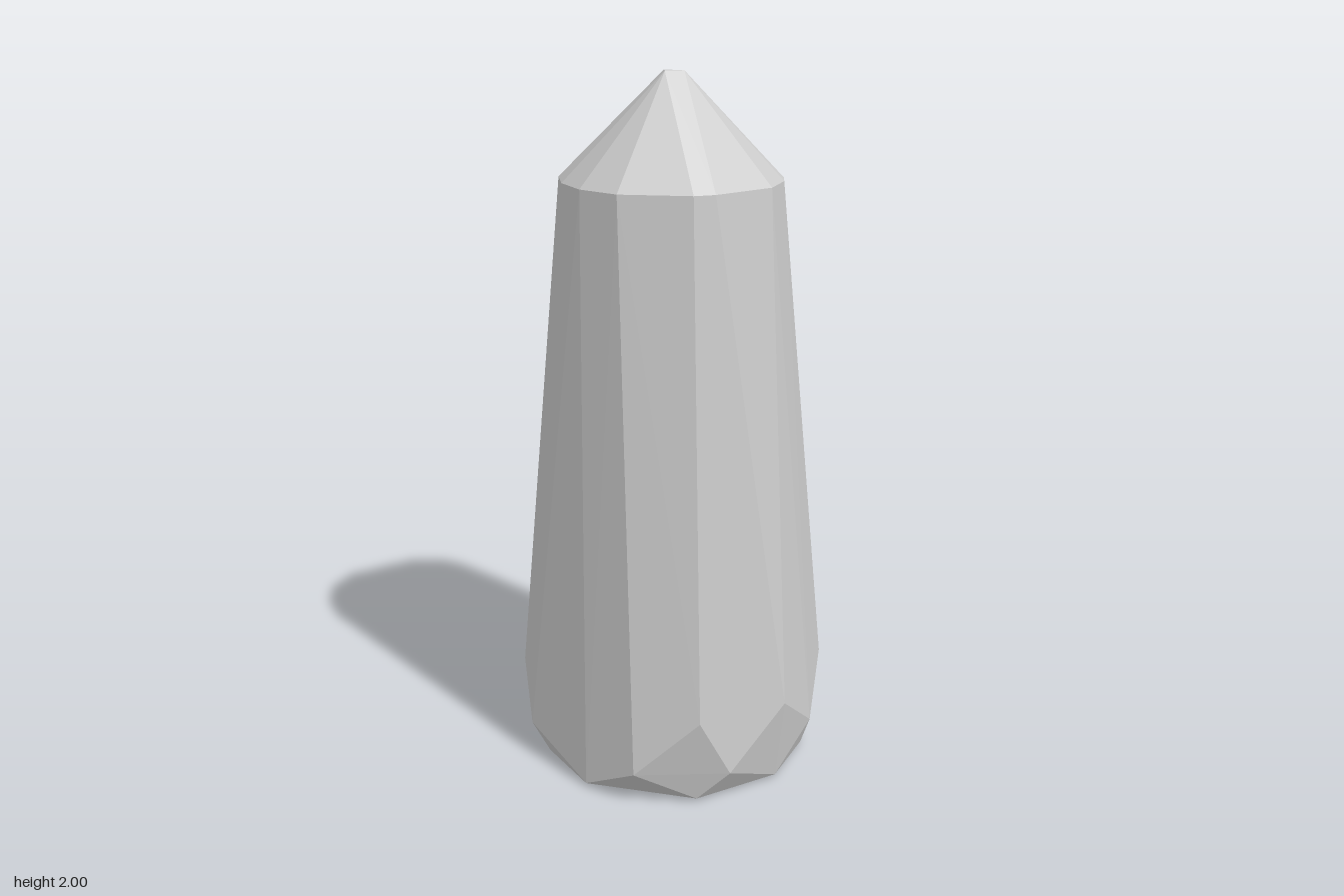
import * as THREE from 'three';
import { ConvexGeometry } from 'three/addons/geometries/ConvexGeometry.js';

// ring of [x, z] corners at one height
const ring = (y, corners) => corners.map(([x, z]) => new THREE.Vector3(x, y, z));

export function createModel() {
  const group = new THREE.Group();
  group.name = 'crystalPoint';
  const points = [
    // tiny chipped tip
    ...ring(2, [[-0.02, -0.025], [0.03, 0.01], [-0.025, 0.02]]),
    // shoulder under the pointed cap, with one lower chipped corner
    ...ring(1.71, [
      [0, -0.315], [0.125, -0.285], [0.295, -0.095], [0.305, 0.035], [0.29, 0.1],
      [0.23, 0.21], [0.06, 0.305], [0, 0.315], [-0.19, 0.255], [-0.275, 0.155],
      [-0.31, 0.035], [-0.305, -0.095], [-0.235, -0.21],
    ]),
    ...ring(1.69, [[0.183, -0.25]]),
    // widest corners of the shaft
    ...ring(0.27, [
      [0, -0.445], [0.445, 0.05], [0.26, 0.365], [0, 0.445], [-0.445, -0.045],
    ]),
    // lower facet corners
    ...ring(0.13, [[0.415, -0.135], [0.375, 0.22]]),
    ...ring(0.1, [
      [0.09, 0.43], [-0.18, 0.395], [-0.435, 0.045], [-0.425, -0.135],
      [-0.325, -0.29], [-0.18, -0.395],
    ]),
    // flat foot
    ...ring(0.01, [
      [0, 0.4], [0.25, 0.31], [0.37, 0.14], [0.395, 0.01], [-0.3, 0.265],
      [-0.39, -0.06], [-0.385, 0.06],
    ]),
    ...ring(0, [
      [0.3, -0.24], [0.23, -0.32], [0, -0.4], [-0.25, -0.31],
    ]),
  ];
  const crystal = new THREE.Mesh(
    new ConvexGeometry(points),
    new THREE.MeshStandardMaterial({ color: 0xcccccc, flatShading: true })
  );
  crystal.name = 'crystal';
  group.add(crystal);
  return group;
}
